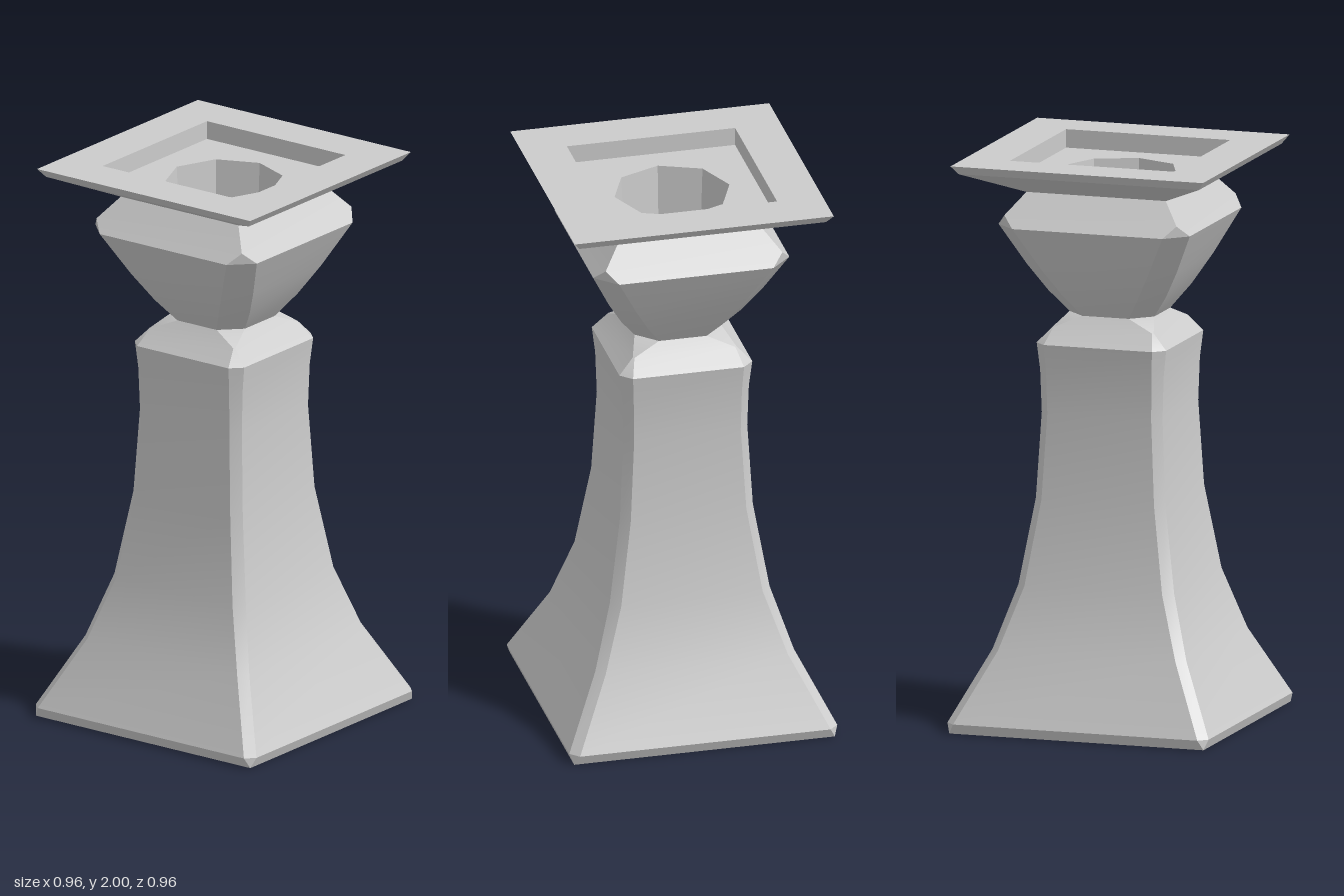
import * as THREE from 'three';
import { toCreasedNormals } from 'three/addons/utils/BufferGeometryUtils.js';

const material = new THREE.MeshStandardMaterial({ color: 0xcccccc });

// Square cross-section: half width w, half length f of the flat side (corners cut when f < w)
function squareRing([y, w, f = w]) {
  return [[-f, w], [f, w], [w, f], [w, -f], [f, -w], [-f, -w], [-w, -f], [-w, f]]
    .map(([x, z]) => new THREE.Vector3(x, y, z));
}

// Regular octagon with corners on the x and z axes
function octagonRing([y, r]) {
  return Array.from({ length: 8 }, (_, i) => {
    const a = i * Math.PI / 4;
    return new THREE.Vector3(r * Math.sin(a), y, r * Math.cos(a));
  });
}

// Skin consecutive rings, leaving out collapsed triangles
function loft(rings) {
  const positions = [];
  const triangle = (a, b, c) => {
    if (new THREE.Triangle(a, b, c).getArea() < 1e-7) return;
    for (const p of [a, b, c]) positions.push(p.x, p.y, p.z);
  };
  for (let i = 0; i < rings.length - 1; i++) {
    const lower = rings[i], upper = rings[i + 1];
    for (let j = 0; j < 8; j++) {
      const k = (j + 1) % 8;
      triangle(lower[j], lower[k], upper[k]);
      triangle(lower[j], upper[k], upper[j]);
    }
  }
  const geometry = new THREE.BufferGeometry();
  geometry.setAttribute('position', new THREE.Float32BufferAttribute(positions, 3));
  return toCreasedNormals(geometry, 0.5);
}

export function createModel() {
  const group = new THREE.Group();
  const add = (name, geometry) => {
    const mesh = new THREE.Mesh(geometry, material);
    mesh.name = name;
    group.add(mesh);
    return mesh;
  };

  // Flared pillar with bevelled corners and a pinched neck: [y, half width, half flat]
  add('pillar', loft([
    [0, 0.465], [0.035, 0.478, 0.447], [0.28, 0.355, 0.325], [0.5, 0.285, 0.252],
    [0.8, 0.237, 0.206], [1.1, 0.221, 0.19], [1.25, 0.226, 0.193],
    [1.345, 0.237, 0.198], [1.4, 0.185, 0.18], [1.44, 0.155, 0.085],
  ].map(squareRing)));

  // Underside
  const underside = add('underside', new THREE.PlaneGeometry(0.93, 0.93));
  underside.rotation.x = Math.PI / 2;

  // Bevelled bowl above the neck
  add('bowl', loft([
    [1.44, 0.155, 0.085], [1.52, 0.215, 0.138], [1.62, 0.274, 0.196],
    [1.77, 0.35, 0.275], [1.81, 0.315], [1.885, 0.255],
  ].map(squareRing)));

  // Square plate with a shallow square recess in its top
  const floorY = 1.935;
  add('topPlate', loft([
    [1.885, 0.255], [1.97, 0.44], [2, 0.462], [2, 0.3], [floorY, 0.3],
  ].map(squareRing)));

  // Recess floor, cut by the octagonal socket
  const socketTop = [floorY, 0.205], socketBottom = [1.655, 0.19];
  const floor = new THREE.Shape([[-0.3, -0.3], [0.3, -0.3], [0.3, 0.3], [-0.3, 0.3]]
    .map(([x, y]) => new THREE.Vector2(x, y)));
  floor.holes.push(new THREE.Path(octagonRing(socketTop).map(p => new THREE.Vector2(p.x, p.z))));
  const recessFloor = add('recessFloor', new THREE.ShapeGeometry(floor));
  recessFloor.rotation.x = -Math.PI / 2;
  recessFloor.position.y = floorY;

  // Candle socket
  add('socketWall', loft([socketTop, socketBottom].map(octagonRing)));
  const socketFloor = add('socketFloor', new THREE.CircleGeometry(socketBottom[1], 8));
  socketFloor.rotation.x = -Math.PI / 2;
  socketFloor.position.y = socketBottom[0];

  return group;
}
